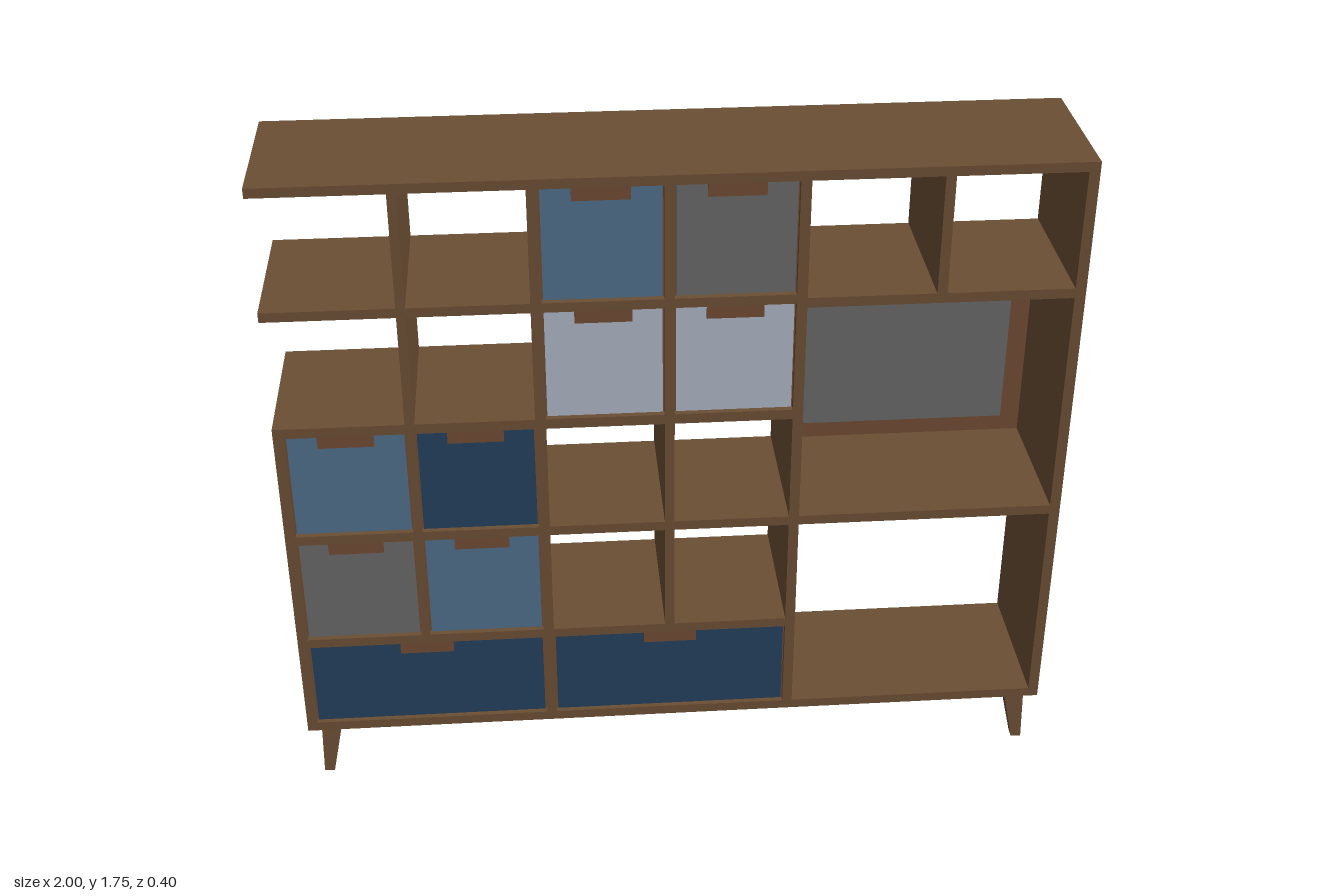
import * as THREE from 'three';

export function createModel() {
  const root = new THREE.Group();
  root.name = 'bookcase';
  const mat = (name, color) => {
    const m = new THREE.MeshStandardMaterial({ color });
    m.name = name;
    return m;
  };
  const wood = mat('wood', 0x6b4e34);
  const panelWood = mat('panelWood', 0x6e4b33);
  const blue = mat('blue', 0x4d6d89);
  const navy = mat('navy', 0x22405b);
  const grey = mat('grey', 0x676767);
  const pale = mat('pale', 0xaab2c1);

  // Box given by its limits
  const block = (name, m, x0, x1, y0, y1, z0 = -0.2, z1 = 0.2, parent = root) => {
    const mesh = new THREE.Mesh(new THREE.BoxGeometry(x1 - x0, y1 - y0, z1 - z0), m);
    mesh.position.set((x0 + x1) / 2, (y0 + y1) / 2, (z0 + z1) / 2);
    mesh.name = name;
    parent.add(mesh);
    return mesh;
  };

  // Outer carcass
  block('topBoard', wood, -1, 1, 1.722, 1.747);
  block('bottomBoard', wood, -1, 1, 0.152, 0.178);
  block('leftSide', wood, 0.973, 1, 0.178, 1.722);
  block('rightSide', wood, -1, -0.973, 0.178, 1.075);

  // Full-height dividers
  block('mainDivider', wood, -0.354, -0.327, 0.178, 1.722);
  block('mainDivider', wood, 0.289, 0.315, 0.178, 1.722);

  // Shelves: [x0, x1, y0, y1]
  const shelves = [
    [-1, -0.354, 1.4, 1.425], [-0.327, 0.289, 1.4, 1.425],
    [-1, -0.354, 1.075, 1.102], [-0.327, 0.289, 1.075, 1.102],
    [-0.973, -0.354, 0.756, 0.782], [-0.327, 0.289, 0.756, 0.782],
    [-0.973, -0.354, 0.43, 0.456], [-0.327, 0.289, 0.43, 0.456],
    [0.315, 0.973, 1.388, 1.414], [0.315, 0.973, 0.756, 0.782],
  ];
  for (const s of shelves) block('shelf', wood, ...s);

  // Thin uprights between the shelves
  const rows = [[0.456, 0.756], [0.782, 1.075], [1.102, 1.4], [1.425, 1.722]];
  for (const [y0, y1] of rows) {
    block('thinDivider', wood, -0.675, -0.652, y0, y1);
    block('thinDivider', wood, -0.032, -0.007, y0, y1);
  }
  block('thinDivider', wood, 0.632, 0.657, 1.414, 1.722);

  // Back panels and the grey screen
  block('cabinetBack', panelWood, 0.315, 0.975, 0.782, 1.388, -0.203, -0.19);
  block('screen', grey, 0.374, 0.92, 0.83, 1.335, -0.19, -0.182);
  block('drawerBack', panelWood, -0.973, 0.289, 0.178, 0.432, -0.201, -0.195);

  // Drawer: wooden body, coloured front plate and a pull at the top
  const drawer = (x0, x1, y0, y1, color, zBack = -0.09) => {
    const g = new THREE.Group();
    g.name = 'drawer';
    const c = (x0 + x1) / 2;
    block('drawerBody', panelWood, x0, x1, y0, y1, zBack, 0.182, g);
    block('drawerFront', color, x0 + 0.004, x1 - 0.004, y0 + 0.004, y1 - 0.002, 0.182, 0.191, g);
    block('drawerPull', panelWood, c - 0.07, c + 0.07, y1 - 0.034, y1, 0.182, 0.197, g);
    root.add(g);
  };
  const cols = [[-0.973, -0.675], [-0.652, -0.354], [-0.327, -0.032], [-0.007, 0.289]];
  const bins = [
    [0, 0, grey], [1, 0, blue], [0, 1, blue], [1, 1, navy],
    [2, 2, pale], [3, 2, pale], [2, 3, blue], [3, 3, grey],
  ];
  for (const [c, r, m] of bins) drawer(...cols[c], ...rows[r], m);
  drawer(-0.973, -0.354, 0.178, 0.43, navy, -0.195);
  drawer(-0.327, 0.289, 0.178, 0.43, navy, -0.195);

  // Legs: square, tapering towards the outer corner
  for (const sx of [-1, 1]) for (const sz of [-1, 1]) {
    const geo = new THREE.BoxGeometry(0.054, 0.152, 0.054);
    const p = geo.attributes.position;
    for (let i = 0; i < p.count; i++) {
      if (p.getY(i) > 0) continue;
      p.setX(i, p.getX(i) * 0.5 + sx * 0.018);
      p.setZ(i, p.getZ(i) * 0.5 + sz * 0.018);
    }
    geo.computeVertexNormals();
    const leg = new THREE.Mesh(geo, wood);
    leg.position.set(sx * 0.938, 0.076, sz * 0.156);
    leg.name = 'leg';
    root.add(leg);
  }
  return root;
}
